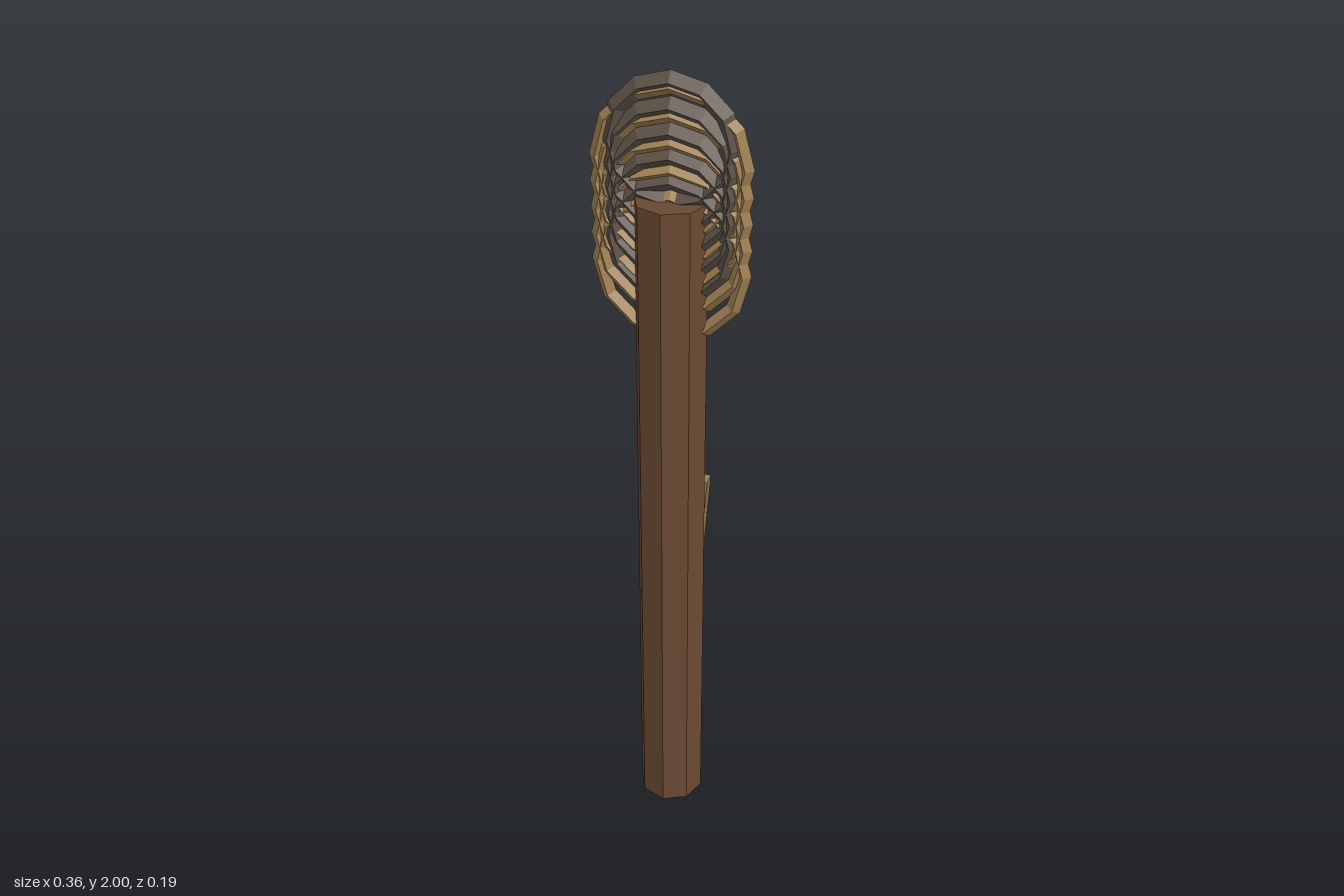
import * as THREE from 'three';

const flat = (geometry) => {
  const g = geometry.index ? geometry.toNonIndexed() : geometry;
  g.computeVertexNormals();
  return g;
};

const paint = (name, color) => {
  const material = new THREE.MeshStandardMaterial({ color });
  material.name = name;
  return material;
};

export function createModel() {
  const group = new THREE.Group();
  group.name = 'ropePost';
  const wood = paint('brown wood', 0x6b4a33);
  const board = paint('pale wood', 0x937a50);
  const ropeTan = paint('tan rope', 0xa08052);
  const ropeDark = paint('dark rope', 0x5c5146);
  const axisZ = 0.0125;

  const add = (name, geometry, material, x, y, z) => {
    const mesh = new THREE.Mesh(flat(geometry), material);
    mesh.name = name;
    mesh.position.set(x, y, z);
    group.add(mesh);
    return mesh;
  };

  // Eight-sided post
  add('post', new THREE.CylinderGeometry(0.083, 0.083, 1.715, 8), wood, 0, 0.8575, axisZ);

  // Leaning plank fixed to the back
  const plank = add('plank', new THREE.BoxGeometry(0.1, 0.552, 0.036), board, 0, 0.672, -0.081);
  plank.rotation.z = -0.073;

  // Coiled rope: thick dark loops inside, thinner tan loops outside
  const loops = 5;
  for (let i = 0; i < loops; i++) {
    const t = i / (loops - 1);
    add('darkLoop' + (i + 1), new THREE.TorusGeometry(0.135, 0.022, 4, 12), ropeDark,
      0, 1.843 - 0.22 * t, axisZ);
    add('tanLoop' + (i + 1), new THREE.TorusGeometry(0.165, 0.017, 4, 12), ropeTan,
      0, 1.8 - 0.245 * t, axisZ);
  }
  return group;
}
